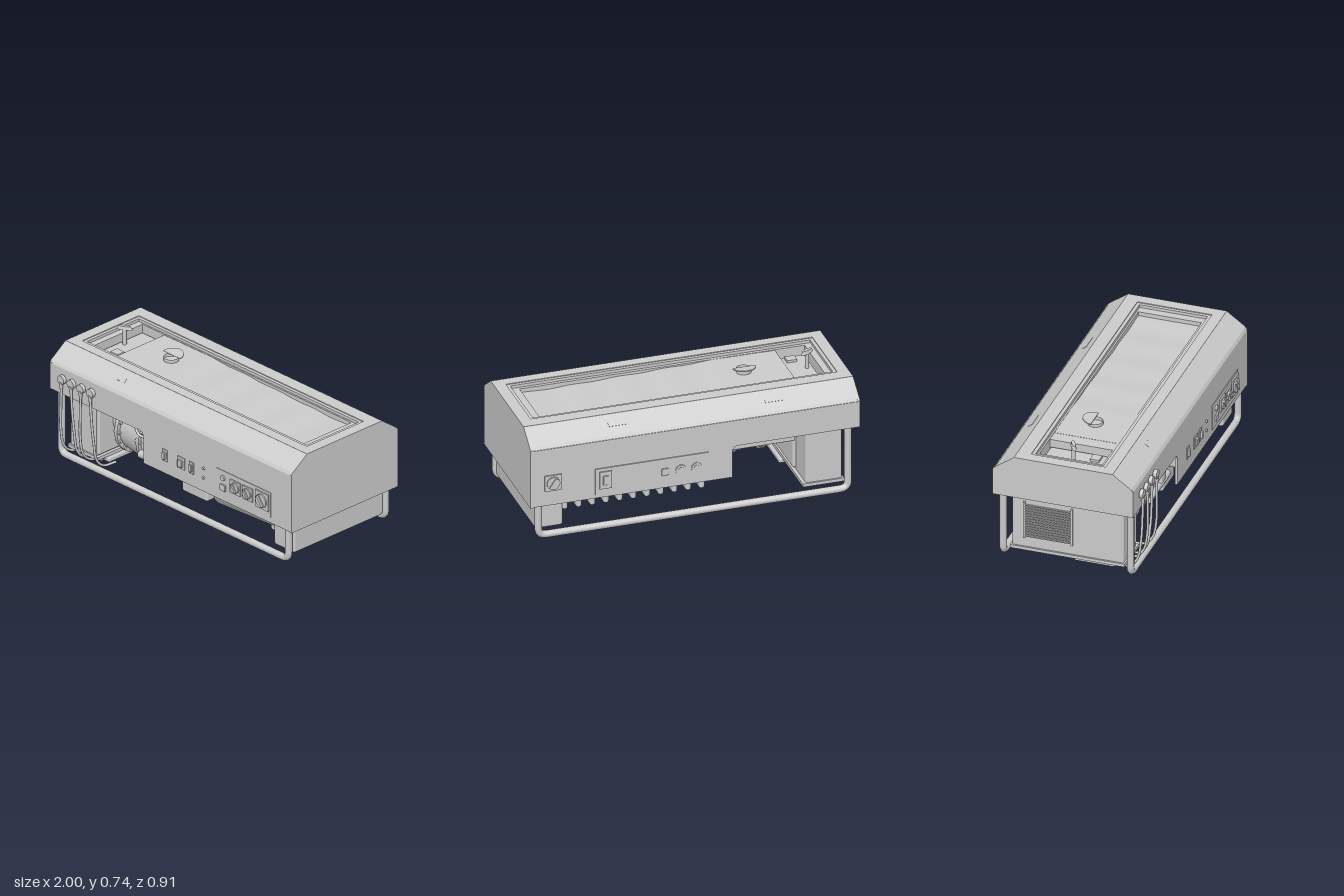
import * as THREE from 'three';
import { RoundedBoxGeometry } from 'three/addons/geometries/RoundedBoxGeometry.js';

const mat = new THREE.MeshStandardMaterial({ color: 0xcccccc, side: THREE.DoubleSide });
const V = (x, y, z) => new THREE.Vector3(x, y, z);

export function createModel() {
  const root = new THREE.Group();

  const add = (name, geo, x = 0, y = 0, z = 0, parent = root) => {
    const m = new THREE.Mesh(geo, mat);
    m.name = name;
    m.position.set(x, y, z);
    parent.add(m);
    return m;
  };
  // box from its limits, optionally rounded
  const box = (name, x0, x1, y0, y1, z0, z1, r = 0, parent = root) => {
    const s = [x1 - x0, y1 - y0, z1 - z0];
    const g = r ? new RoundedBoxGeometry(...s, 2, r) : new THREE.BoxGeometry(...s);
    return add(name, g, (x0 + x1) / 2, (y0 + y1) / 2, (z0 + z1) / 2, parent);
  };
  // cylinder lying along x
  const cylX = (name, x0, x1, r0, r1, y, z, n = 32) =>
    add(name, new THREE.CylinderGeometry(r1, r0, x1 - x0, n).rotateZ(-Math.PI / 2), (x0 + x1) / 2, y, z);
  // disc facing the front
  const disc = (name, r, d, x, y, z, parent = root) =>
    add(name, new THREE.CylinderGeometry(r, r, d, 16).rotateX(Math.PI / 2), x, y, z, parent);
  const tube = (name, pts, r) =>
    add(name, new THREE.TubeGeometry(new THREE.CatmullRomCurve3(pts), 40, r, 8));
  const poly = pts => new THREE.Shape(pts.map(p => new THREE.Vector2(...p)));
  const extrude = (shape, depth) => new THREE.ExtrudeGeometry(shape, { depth, bevelEnabled: false });

  // housing: stepped side walls and sloped shoulders
  const wall = new THREE.Shape();
  wall.moveTo(-1, 0.43);
  wall.lineTo(-0.26, 0.43);
  wall.quadraticCurveTo(-0.225, 0.43, -0.225, 0.39);
  wall.lineTo(-0.225, 0.23);
  wall.lineTo(1, 0.23);
  wall.lineTo(1, 0.595);
  wall.lineTo(-1, 0.595);
  const shoulder = poly([[0.3, 0.695], [0.415, 0.613], [0.426, 0.595], [0.411, 0.595], [0.4, 0.605], [0.3, 0.675]]);
  for (const s of [1, -1]) {
    add(s > 0 ? 'frontWall' : 'backWall', extrude(wall, 0.015), 0, 0, s > 0 ? 0.411 : -0.43);
    const g = extrude(shoulder, 2).rotateY(-Math.PI / 2).translate(1, 0, 0);
    if (s < 0) g.rotateY(Math.PI);
    add(s > 0 ? 'frontShoulder' : 'backShoulder', g);
    // lifting grips on the shoulders
    for (const x of s > 0 ? [-0.5] : [-0.5, 0.45]) {
      const grip = box('grip', x - 0.055, x + 0.055, 0.64, 0.67, s * 0.356 - 0.002, s * 0.356 + 0.002);
      grip.rotation.x = -s * 0.95;
    }
  }
  // end caps
  const cap = y => poly([[-0.43, y], [0.426, y], [0.426, 0.6], [0.3, 0.695], [-0.3, 0.695], [-0.43, 0.6]]);
  const capGeo = y => extrude(cap(y), 0.015).rotateY(-Math.PI / 2);
  add('rightCap', capGeo(0.225), 1, 0, 0);
  add('leftCap', capGeo(0.43), -0.985, 0, 0);

  // top plate with its long opening
  const rect = (x0, x1, z0, z1) => poly([[x0, z0], [x1, z0], [x1, z1], [x0, z1]]);
  const frame = (name, o, i, y, h) => {
    const s = rect(...o);
    s.holes.push(rect(...i));
    add(name, extrude(s, h).rotateX(Math.PI / 2), 0, y, 0);
  };
  frame('topPlate', [-1, 1, -0.301, 0.301], [-0.93, 0.93, -0.22, 0.235], 0.695, 0.02);
  frame('openingRim', [-0.935, 0.935, -0.225, 0.24], [-0.91, 0.91, -0.2, 0.215], 0.69, 0.05);
  frame('openingLedge', [-0.91, 0.91, -0.2, 0.215], [-0.87, 0.86, -0.19, 0.195], 0.672, 0.1);
  // top cover, dipping gently at its far end
  const cover = new THREE.BoxGeometry(1.47, 0.015, 0.39, 40, 1, 1);
  const p = cover.attributes.position;
  for (let i = 0; i < p.count; i++) {
    const t = Math.max(0, p.getX(i) + 0.5);
    p.setY(i, p.getY(i) - 0.025 * Math.min(1, t) + 0.003 * Math.sin(t * 22));
  }
  cover.computeVertexNormals();
  add('topCover', cover, 0.125, 0.662, 0);
  box('divider', -0.69, -0.605, 0.57, 0.668, -0.19, 0.195);
  box('fillerTray', -0.88, -0.68, 0.565, 0.58, -0.195, 0.2);
  box('trayPlate', -0.86, -0.7, 0.58, 0.63, -0.18, 0.17, 0.012);
  box('trayLatch', -0.79, -0.73, 0.63, 0.645, 0.09, 0.145);

  // filler knob and exhaust outlet with flap
  add('fillerStem', new THREE.CylinderGeometry(0.012, 0.012, 0.12, 12), -0.82, 0.68, 0);
  const knob = add('fillerKnob', new THREE.CylinderGeometry(0.036, 0.05, 0.022, 20), -0.82, 0.737, 0);
  knob.scale.z = 0.3;
  knob.rotation.y = 0.5;
  add('exhaustOutlet', new THREE.CylinderGeometry(0.045, 0.045, 0.03, 24, 1, true), -0.435, 0.676, 0);
  const flap = add('exhaustFlap', new THREE.CylinderGeometry(0.07, 0.07, 0.006, 24, 1, false, Math.PI / 2, Math.PI), -0.435, 0.7, -0.005);
  flap.rotation.x = 0.12;

  // tubular skids
  for (const z of [0.39, -0.387]) {
    const path = new THREE.CurvePath();
    const c = [V(-0.94, 0.5, z), V(-0.94, 0.07, z), V(-0.94, 0.024, z), V(-0.89, 0.024, z)];
    const d = c.map(v => V(-v.x, v.y, z)).reverse();
    path.add(new THREE.LineCurve3(c[0], c[1]));
    path.add(new THREE.QuadraticBezierCurve3(c[1], c[2], c[3]));
    path.add(new THREE.LineCurve3(c[3], d[0]));
    path.add(new THREE.QuadraticBezierCurve3(d[0], d[1], d[2]));
    path.add(new THREE.LineCurve3(d[2], d[3]));
    add('skid', new THREE.TubeGeometry(path, 160, 0.022, 10));
  }

  // air duct under the right end
  box('airDuct', 0.78, 0.95, 0.05, 0.25, -0.36, 0.355, 0.015);

  // radiator box with grille, battery tray and straps at the left end
  box('radiatorBox', -0.92, -0.7, 0.06, 0.43, -0.34, 0.34, 0.012);
  box('fanShroud', -0.71, -0.68, 0.08, 0.4, -0.16, 0.34, 0.012);
  box('radiatorShelf', -0.93, -0.68, 0.05, 0.07, -0.35, 0.35);
  for (let i = 0; i < 13; i++) box('grilleSlat', -0.93, -0.918, 0.14 + i * 0.017, 0.147 + i * 0.017, -0.26, 0.02);
  for (const z of [-0.27, 0.02]) box('grilleSide', -0.932, -0.918, 0.13, 0.37, z, z + 0.012);
  box('batteryTray', -0.9, -0.66, 0.018, 0.05, 0.03, 0.28, 0.01);
  for (const x of [-0.84, -0.74]) box('trayStrap', x, x + 0.025, 0.014, 0.06, 0.02, 0.29);

  // fan hub, flanged housing and generator body
  const gz = 0.15;
  cylX('fanHub', -0.7, -0.57, 0.08, 0.08, 0.265, gz);
  cylX('couplingHousing', -0.57, -0.4, 0.145, 0.165, 0.265, gz);
  for (const x of [-0.575, -0.4]) {
    cylX('flange', x, x + 0.022, 0.17, 0.17, 0.265, gz, 40);
    for (let i = 0; i < 16; i++) {
      const a = i / 16 * Math.PI * 2;
      cylX('flangeBolt', x - 0.012, x + 0.034, 0.01, 0.01, 0.265 + Math.cos(a) * 0.158, gz + Math.sin(a) * 0.158, 6);
    }
  }
  cylX('generatorBody', -0.39, 0.0, 0.15, 0.15, 0.255, gz);
  cylX('sidePipe', -0.38, -0.05, 0.025, 0.025, 0.19, gz + 0.15, 12);
  box('terminalBox', -0.3, -0.225, 0.26, 0.39, 0.2, 0.36, 0.01);
  tube('fuelPipe', [V(-0.48, 0.42, 0.18), V(-0.42, 0.4, 0.31), V(-0.36, 0.33, 0.33), V(-0.28, 0.32, 0.3)], 0.008);
  // air box hanging behind the generator
  box('airBox', -0.62, -0.2, 0.38, 0.6, -0.39, -0.06, 0.01);

  // engine block, sump and auxiliary parts
  box('engineBlock', 0, 0.76, 0.19, 0.6, -0.2, 0.36, 0.03);
  const sump = cylX('sump', 0.27, 0.76, 0.18, 0.16, 0.23, 0.17, 24);
  sump.scale.set(1, 0.95, 1.05);
  box('sumpEnd', 0.69, 0.77, 0.09, 0.24, 0.0, 0.3, 0.02);
  box('filterHousing', -0.06, 0.15, 0.06, 0.25, 0.1, 0.28, 0.015);
  cylX('filter', 0.14, 0.26, 0.04, 0.04, 0.19, 0.27, 16);
  for (let i = 0; i < 3; i++) cylX('crankWeb', 0.03 + i * 0.07, 0.06 + i * 0.07, 0.08, 0.08, 0.18, 0.02, 16);

  // row of rounded cooling fins along the back
  for (let i = 0; i < 11; i++) {
    const x = -0.08 + i * 0.083;
    box('coolingFin', x, x + 0.035, 0.15, 0.44, -0.37, -0.16, 0.017);
  }
  box('finHeader', -0.1, 0.82, 0.2, 0.46, -0.3, -0.2);

  // lifting terminals with hanging cables
  [-0.885, -0.805, -0.725, -0.645].forEach((x, i) => {
    const g = new THREE.Group();
    g.name = 'terminal';
    root.add(g);
    disc('terminalKnob', 0.028, 0.022, x, 0.533, 0.443, g);
    disc('terminalStud', 0.012, 0.03, x, 0.533, 0.43, g);
    add('cableLug', new THREE.CylinderGeometry(0.014, 0.008, 0.05, 10), x, 0.495, 0.446, g);
    const b = i % 2 ? 0.02 : -0.012;
    tube('cable', [V(x, 0.5, 0.446), V(x + b * 0.4, 0.36, 0.444), V(x + b, 0.22, 0.438), V(x + b, 0.1, 0.415),
      V(x + b, 0.045, 0.36), V(x + 0.03, 0.04, 0.27)], 0.008);
  });

  // lever dials, mirrored for the back
  const dial = (x, y, s, z, dir) => {
    const g = new THREE.Group();
    g.name = 'dial';
    g.position.set(x, y, z);
    g.scale.z = dir;
    root.add(g);
    box('dialPlate', -s, s, -s, s, 0, 0.009, 0, g);
    disc('dialRing', s * 0.8, 0.012, 0, 0, 0.011, g);
    box('dialLever', -s * 0.18, s * 0.18, -s * 0.7, s * 0.7, 0.01, 0.024, 0, g).rotation.z = 0.6;
  };
  // front controls
  box('controlPanel', 0.38, 0.83, 0.265, 0.425, 0.424, 0.43);
  dial(0.545, 0.355, 0.042, 0.43, 1);
  dial(0.645, 0.355, 0.042, 0.43, 1);
  dial(0.765, 0.355, 0.054, 0.43, 1);
  box('panelSwitch', 0.42, 0.465, 0.3, 0.34, 0.43, 0.442, 0.004);
  disc('panelLamp', 0.017, 0.014, 0.44, 0.38, 0.434);
  for (const [x, w] of [[-0.045, 0.02], [0.09, 0.03], [0.175, 0.018]]) {
    box('switchPlate', x - w, x + w, 0.31, 0.385, 0.424, 0.432);
    box('switchKey', x - w * 0.6, x + w * 0.6, 0.325, 0.37, 0.43, 0.445, 0.004);
  }
  for (const y of [0.38, 0.32]) disc('indicator', 0.009, 0.014, 0.275, y, 0.428);

  // back controls
  box('backPanel', -0.08, 0.61, 0.255, 0.42, -0.437, -0.428);
  box('breakerPlate', 0.51, 0.585, 0.29, 0.4, -0.446, -0.435);
  box('breakerKey', 0.53, 0.565, 0.315, 0.375, -0.454, -0.44, 0.004);
  box('backSwitch', 0.165, 0.21, 0.315, 0.36, -0.446, -0.435, 0.004);
  for (const x of [0.09, -0.005]) {
    disc('backSocket', 0.032, 0.01, x, 0.335, -0.438);
    disc('socketCore', 0.018, 0.016, x, 0.335, -0.438);
  }
  dial(0.865, 0.375, 0.05, -0.43, -1);

  return root;
}
